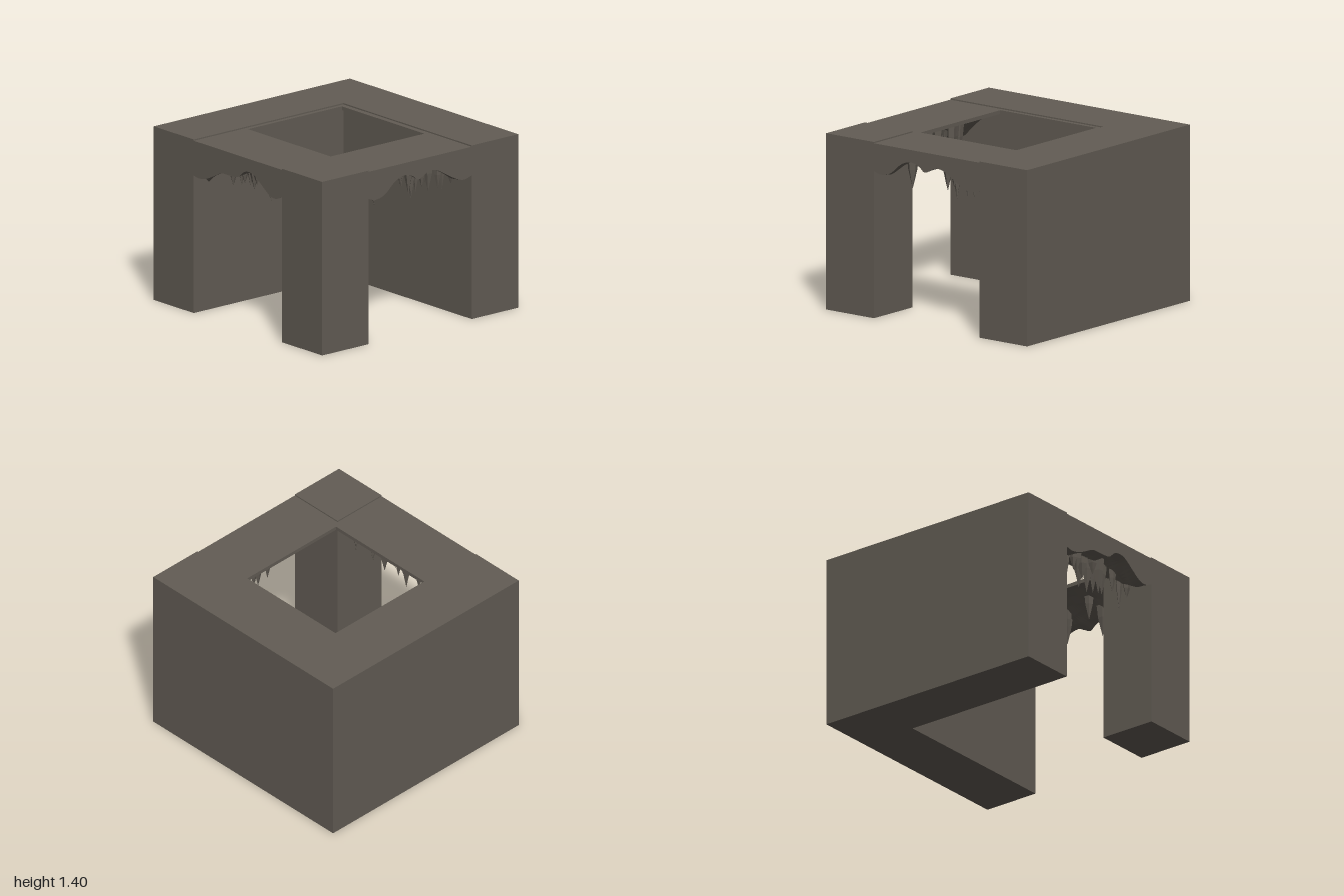
import * as THREE from 'three';

const TOP = 1.4, ROOF = 1.39, INNER = 0.525;
const rock = new THREE.MeshStandardMaterial({ color: 0x625c54 });
rock.name = 'brown grey rock';

function add(parent, geometry, name) {
  const mesh = new THREE.Mesh(geometry, rock);
  mesh.name = name;
  parent.add(mesh);
  return mesh;
}

function box(parent, name, x0, x1, y0, y1, z0, z1) {
  const g = new THREE.BoxGeometry(x1 - x0, y1 - y0, z1 - z0);
  g.translate((x0 + x1) / 2, (y0 + y1) / 2, (z0 + z1) / 2);
  return add(parent, g, name);
}

function flat(geometry) {
  const g = geometry.index ? geometry.toNonIndexed() : geometry;
  g.computeVertexNormals();
  return g;
}

// Roof over one opening: ragged arch on the outside, thinning to a slab inwards
function makeArch(name, depth, profile, spikes) {
  const group = new THREE.Group();
  group.name = name;
  const edge = new THREE.SplineCurve(profile.map(([x, y]) => new THREE.Vector2(x, y))).getPoints(48);

  const edgeHeight = (t) => {
    const i = Math.max(1, edge.findIndex((p) => p.x >= t));
    const a = edge[i - 1], b = edge[i];
    return THREE.MathUtils.mapLinear(t, a.x, b.x, a.y, b.y);
  };
  const underside = (y, d) => y + (1.36 - y) * THREE.MathUtils.smoothstep(d / depth, 0.1, 0.9);

  // Loft of cross-sections along the opening
  const steps = 7, ring = steps + 3, position = [], index = [];
  edge.forEach((p, i) => {
    position.push(p.x, ROOF, 1);
    for (let k = 0; k <= steps; k++) {
      const d = (depth * k) / steps;
      const ripple = k > 0 && k < steps ? 0.012 * Math.sin(p.x * 23 + k * 2.1) : 0;
      position.push(p.x, underside(p.y, d) + ripple, 1 - d);
    }
    position.push(p.x, ROOF, 1 - depth);
    if (i === 0) return;
    for (let j = 0; j < ring; j++) {
      const n = (j + 1) % ring;
      const a = (i - 1) * ring + j, b = i * ring + j, c = i * ring + n, e = (i - 1) * ring + n;
      index.push(a, e, c, a, c, b);
    }
  });
  const g = new THREE.BufferGeometry();
  g.setAttribute('position', new THREE.Float32BufferAttribute(position, 3));
  g.setIndex(index);
  add(group, flat(g), 'archedRoof');

  // Faceted stalactites: [along, depth, tip height, radius]
  spikes.forEach(([t, d, tip, r], i) => {
    const h = underside(edgeHeight(t), d) + 0.02 - tip;
    const shape = [[0, 0], [0.45, 0.3], [0.85, 0.6], [1.1, 1]];
    const cone = new THREE.LatheGeometry(shape.map(([a, b]) => new THREE.Vector2(a * r, b * h)), 5, i * 1.3);
    cone.translate(t, tip, 1 - d);
    add(group, flat(cone), 'stalactite');
  });
  return group;
}

export function createModel() {
  const model = new THREE.Group();
  model.name = 'rockCorner';

  // L-shaped wall
  const plan = [[-1, -1], [1, -1], [1, -INNER], [-INNER, -INNER], [-INNER, 1], [-1, 1]];
  const shape = new THREE.Shape(plan.map(([x, z]) => new THREE.Vector2(x, -z)));
  const wall = new THREE.ExtrudeGeometry(shape, { depth: TOP, bevelEnabled: false });
  wall.rotateX(-Math.PI / 2);
  add(model, wall, 'cornerWall');

  // Free-standing post and thin roof lips along the walls
  box(model, 'cornerPost', INNER, 1, 0, TOP, INNER, 1);
  box(model, 'leftRoofLip', -INNER, -0.49, 1.36, ROOF, -INNER, 0.48);
  box(model, 'backRoofLip', -0.49, 0.49, 1.36, ROOF, -INNER, -0.48);

  model.add(makeArch('frontArch', 0.525,
    [[-INNER, 1.11], [-0.46, 1.1], [-0.38, 1.115], [-0.29, 1.155], [-0.2, 1.2], [-0.1, 1.205], [0, 1.215],
      [0.07, 1.27], [0.14, 1.285], [0.21, 1.265], [0.3, 1.2], [0.38, 1.15], [0.45, 1.14], [INNER, 1.17]],
    [[-0.46, 0.1, 1.055, 0.05], [-0.31, 0.2, 1.09, 0.03], [-0.28, 0.28, 1.03, 0.04], [-0.24, 0.16, 1.06, 0.035],
      [-0.2, 0.3, 1.04, 0.04], [-0.15, 0.2, 1.09, 0.04], [-0.11, 0.35, 1.04, 0.04], [-0.06, 0.22, 1.06, 0.045],
      [-0.02, 0.3, 1.1, 0.045], [0.02, 0.18, 1.12, 0.04], [0.06, 0.27, 1.01, 0.045], [0.1, 0.38, 1.1, 0.045],
      [0.14, 0.22, 1.015, 0.045], [0.18, 0.3, 1.09, 0.04], [0.22, 0.25, 1.04, 0.04], [0.25, 0.36, 1.1, 0.035],
      [0.29, 0.2, 1.07, 0.03], [0.47, 0.2, 1.09, 0.03], [0.5, 0.3, 1.03, 0.025]]));

  const side = makeArch('rightArch', 0.51,
    [[-INNER, 1.17], [-0.45, 1.15], [-0.36, 1.175], [-0.27, 1.25], [-0.2, 1.285], [-0.13, 1.29], [-0.07, 1.265],
      [-0.02, 1.23], [0.04, 1.255], [0.1, 1.28], [0.18, 1.265], [0.26, 1.22], [0.35, 1.17], [0.44, 1.14], [INNER, 1.16]],
    [[-0.3, 0.2, 1.03, 0.045], [-0.26, 0.32, 1.14, 0.035], [0.01, 0.25, 1.12, 0.035], [0.05, 0.2, 1.06, 0.04],
      [0.08, 0.32, 1.08, 0.04], [0.11, 0.24, 1.0, 0.045], [0.15, 0.16, 1.1, 0.04], [0.19, 0.28, 1.03, 0.045],
      [0.22, 0.36, 1.1, 0.04], [0.25, 0.2, 1.04, 0.04], [0.3, 0.3, 1.08, 0.04], [0.33, 0.18, 1.05, 0.03],
      [0.39, 0.25, 1.05, 0.035], [0.43, 0.14, 1.08, 0.03], [0.46, 0.28, 1.0, 0.03], [0.5, 0.2, 1.07, 0.025]]);
  side.rotation.y = Math.PI / 2;
  model.add(side);

  return model;
}
